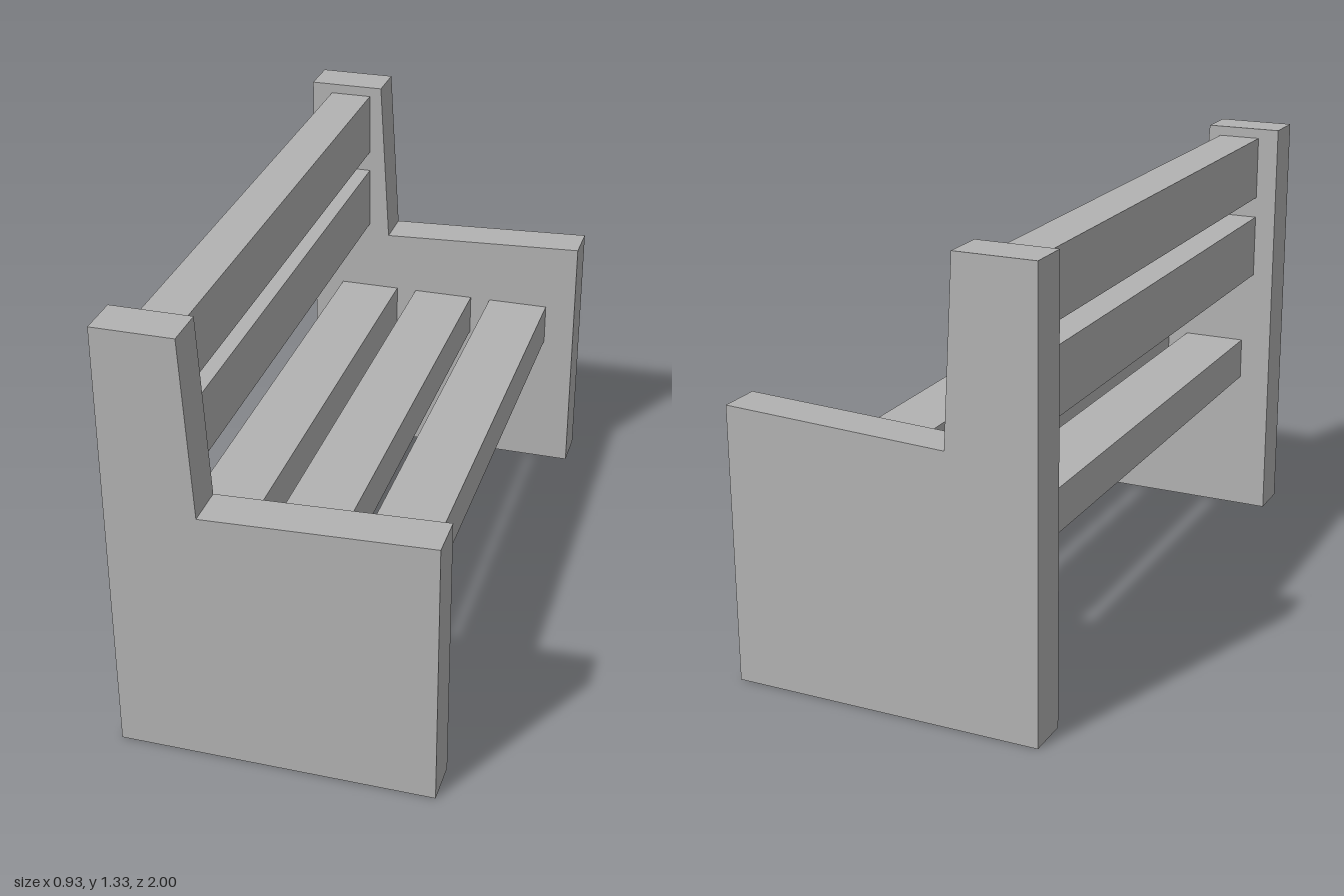
import * as THREE from 'three';

const END_Z = 0.87; // inner face of each end panel
const END_THICK = 0.13;

export function createModel() {
  const bench = new THREE.Group();
  bench.name = 'bench';
  const grey = new THREE.MeshStandardMaterial({ color: 0xb2b2b2 });
  grey.name = 'plain grey';

  const add = (name, geometry, x, y, z) => {
    const mesh = new THREE.Mesh(geometry, grey);
    mesh.name = name;
    mesh.position.set(x, y, z);
    bench.add(mesh);
  };

  // End panels: leg, sloping armrest and tall back post in one slab
  const profile = new THREE.Shape([
    [-0.467, 0], [0.467, 0], [0.467, 0.828], [-0.2, 0.8], [-0.229, 1.334], [-0.467, 1.334],
  ].map(([x, y]) => new THREE.Vector2(x, y)));
  const panel = new THREE.ExtrudeGeometry(profile, { depth: END_THICK, bevelEnabled: false });
  add('frontEndPanel', panel, 0, 0, END_Z);
  add('rearEndPanel', panel, 0, 0, -END_Z - END_THICK);

  // Three seat slats between the panels
  const seatSlat = new THREE.BoxGeometry(0.2, 0.133, 2 * END_Z);
  [-0.267, 0, 0.267].forEach((x, i) => add(`seatSlat${i + 1}`, seatSlat, x, 0.534, 0));

  // Two upright backrest slats
  const backSlat = new THREE.BoxGeometry(0.133, 0.2, 2 * END_Z);
  [0.936, 1.203].forEach((y, i) => add(`backSlat${i + 1}`, backSlat, -0.334, y, 0));

  return bench;
}
